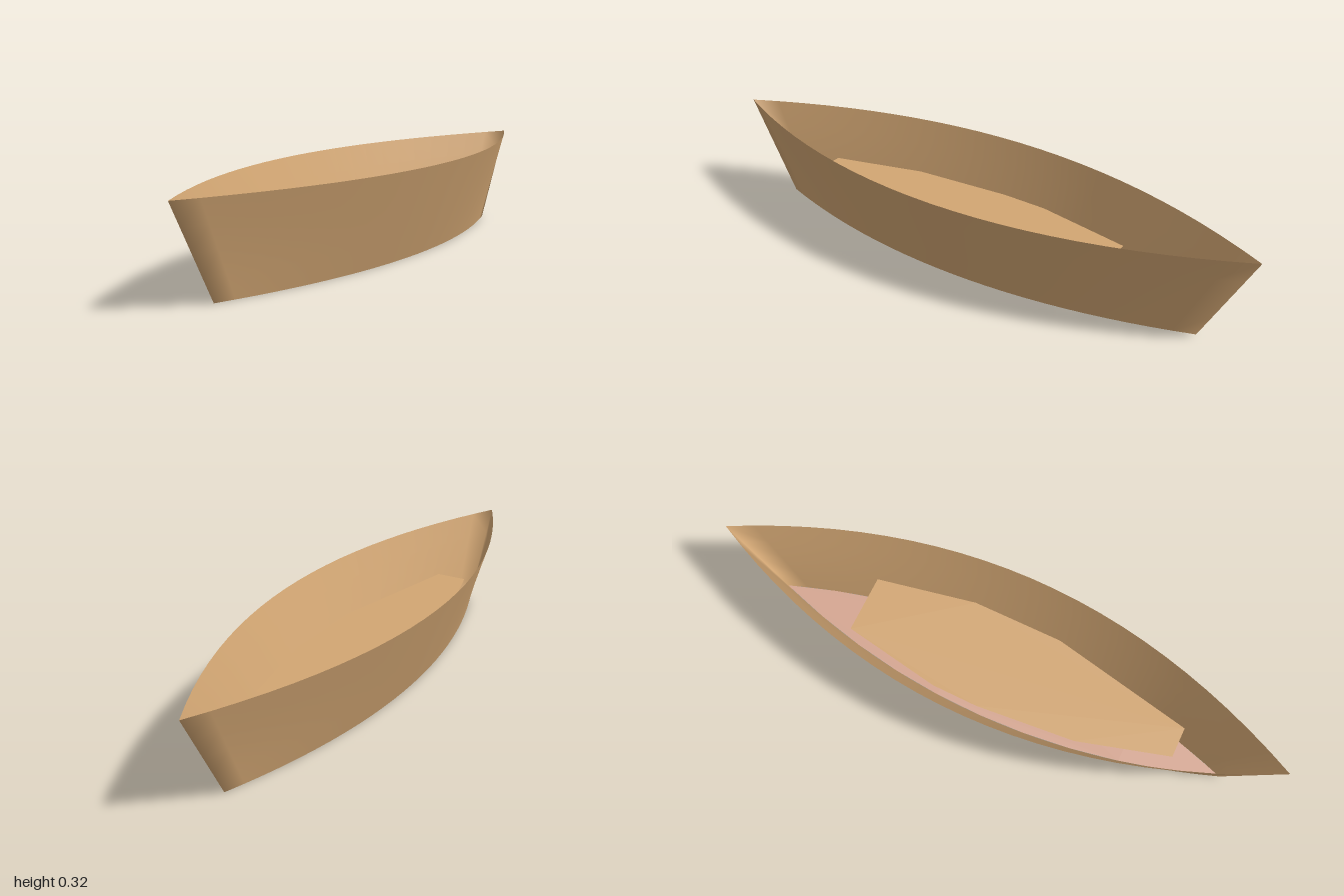
import * as THREE from 'three';

const HEIGHT = 0.317;

// Pointed oval outline: half width w, half length l, as [x, z] pairs
function lens(w, l, segments) {
  const pts = [];
  for (const side of [1, -1]) {
    for (let i = 0; i < segments; i++) {
      const t = side * (1 - (2 * i) / segments);
      pts.push([side * w * (1 - t * t), l * t]);
    }
  }
  return pts;
}

// Flat horizontal sheet from [x, z] pairs
function sheet(pts, y, material, name) {
  const shape = new THREE.Shape(pts.map(([x, z]) => new THREE.Vector2(x, -z)));
  const geometry = new THREE.ShapeGeometry(shape).rotateX(-Math.PI / 2).translate(0, y, 0);
  const mesh = new THREE.Mesh(geometry, material);
  mesh.name = name;
  return mesh;
}

// Flared wall lofted from the keel outline to the rim
function hullGeometry() {
  const rows = 4, segments = 24, positions = [], index = [];
  const n = segments * 2;
  for (let r = 0; r <= rows; r++) {
    const k = r / rows;
    const ring = lens(0.147 + 0.113 * k, 0.82 + 0.18 * k, segments);
    for (const [x, z] of ring) positions.push(x, HEIGHT * k, z);
  }
  for (let r = 0; r < rows; r++) {
    for (let i = 0; i < n; i++) {
      const a = r * n + i, b = r * n + ((i + 1) % n);
      index.push(a, b, b + n, a, b + n, a + n);
    }
  }
  const geometry = new THREE.BufferGeometry();
  geometry.setAttribute('position', new THREE.Float32BufferAttribute(positions, 3));
  geometry.setIndex(index);
  geometry.computeVertexNormals();
  return geometry;
}

export function createModel() {
  const wood = new THREE.MeshStandardMaterial({ color: 0xd2a673, side: THREE.DoubleSide });
  wood.name = 'tan wood';
  const base = new THREE.MeshStandardMaterial({ color: 0xd4a590, side: THREE.DoubleSide });
  base.name = 'pinkish wood';

  const boat = new THREE.Group();
  boat.name = 'boat';

  // Open flared hull
  const hull = new THREE.Mesh(hullGeometry(), wood);
  hull.name = 'hull';
  boat.add(hull);

  // Underside of the hull
  boat.add(sheet(lens(0.147, 0.82, 10), 0.001, base, 'bottom'));

  // Raised deck, cut square at both ends
  const deck = [
    [0.053, 0.65], [0.16, 0.155], [0.164, -0.16], [0.1, -0.5],
    [-0.1, -0.5], [-0.163, -0.16], [-0.167, 0], [-0.14, 0.34], [-0.053, 0.65],
  ];
  boat.add(sheet(deck, 0.157, wood, 'deck'));
  return boat;
}
